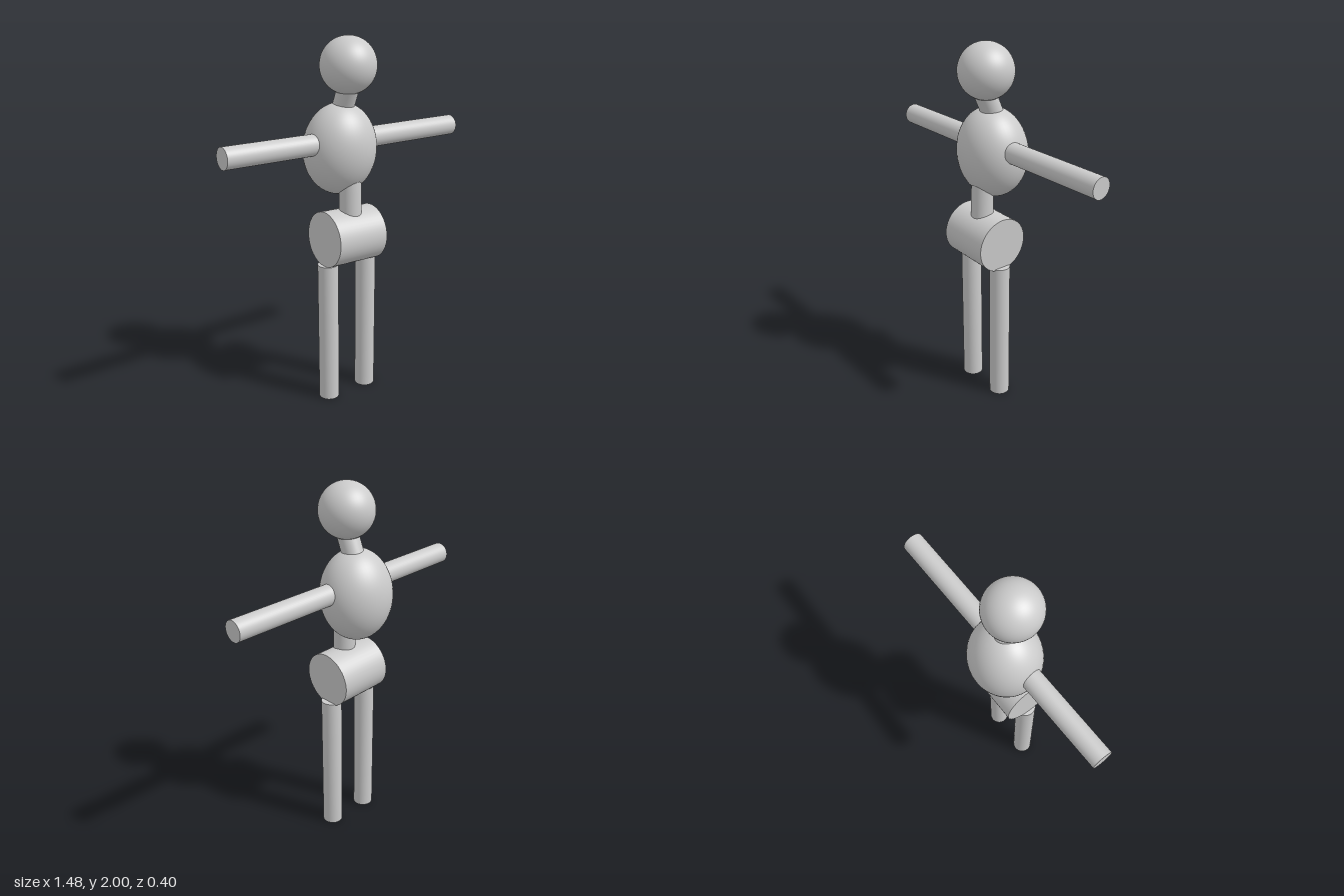
import * as THREE from 'three';

const material = new THREE.MeshStandardMaterial({ color: 0xcccccc });

// Capped cylinder running between two points
function rod(name, from, to, radius) {
  const a = new THREE.Vector3(...from);
  const b = new THREE.Vector3(...to);
  const dir = b.clone().sub(a);
  const mesh = new THREE.Mesh(new THREE.CylinderGeometry(radius, radius, dir.length(), 48), material);
  mesh.name = name;
  mesh.position.copy(a).add(b).multiplyScalar(0.5);
  mesh.quaternion.setFromUnitVectors(new THREE.Vector3(0, 1, 0), dir.normalize());
  return mesh;
}

// Sphere scaled to an ellipsoid
function ball(name, center, radii) {
  const mesh = new THREE.Mesh(new THREE.SphereGeometry(1, 48, 32), material);
  mesh.name = name;
  mesh.position.set(...center);
  mesh.scale.set(...radii);
  return mesh;
}

export function createModel() {
  const model = new THREE.Group();
  model.name = 'figure';

  // Head and forward-leaning neck
  model.add(ball('head', [-0.025, 1.853, 0.037], [0.147, 0.147, 0.147]));
  model.add(rod('neck', [-0.03, 1.58, -0.03], [-0.03, 1.79, 0.065], 0.057));

  // Egg-shaped torso, tipped slightly forward
  const torso = ball('torso', [-0.043, 1.418, -0.016], [0.2, 0.245, 0.185]);
  torso.rotation.x = 0.08;
  model.add(torso);

  // Both arms form one straight line through the torso
  const shoulder = [0, 1.46, -0.002];
  model.add(rod('rightArm', [-0.738, 1.477, 0.034], shoulder, 0.056));
  model.add(rod('leftArm', shoulder, [0.738, 1.445, -0.038], 0.056));

  // Waist and drum-shaped pelvis
  model.add(rod('waist', [-0.03, 0.98, 0.067], [-0.03, 1.32, 0.058], 0.06));
  model.add(rod('pelvis', [-0.188, 0.957, 0.05], [0.117, 0.944, 0.039], 0.15));

  // Legs
  model.add(rod('rightLeg', [-0.162, 0, 0.044], [-0.162, 0.81, 0.044], 0.056));
  model.add(rod('leftLeg', [0.089, 0, 0.037], [0.089, 0.81, 0.037], 0.056));

  return model;
}
